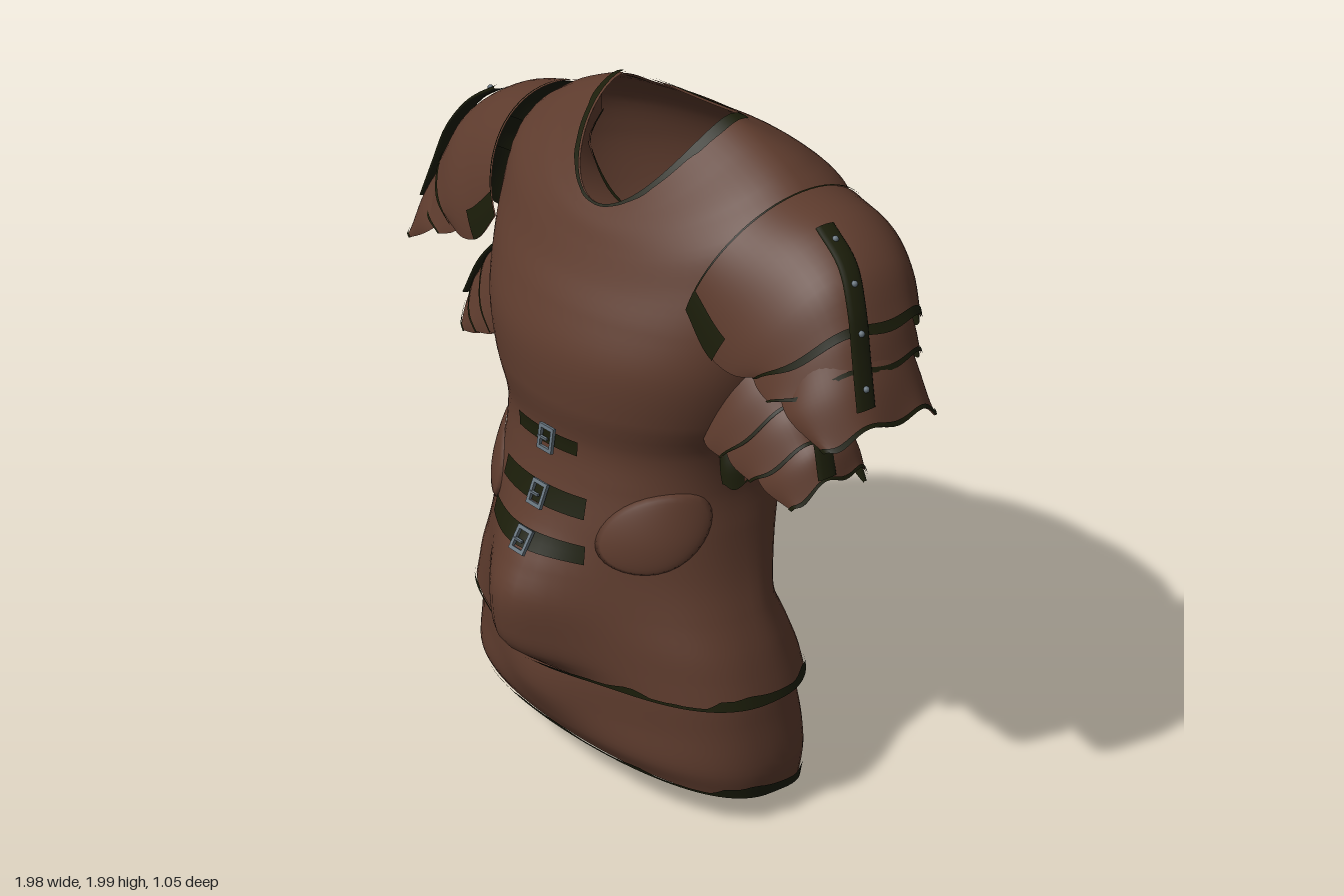
import * as THREE from 'three';
import { ParametricGeometry } from 'three/addons/geometries/ParametricGeometry.js';

const mat = (name, color) => {
  const m = new THREE.MeshStandardMaterial({ color });
  m.name = name;
  return m;
};

// Rings: [half width, side y, side z, front z, front y, back z, back y]
const TORSO = [
  [.605, .40, .05, .44, .42, -.31, .38], [.585, .46, .05, .51, .48, -.30, .43],
  [.56, .53, .05, .53, .56, -.26, .53], [.515, .64, .04, .53, .65, -.21, .64],
  [.48, .74, .03, .49, .74, -.24, .74], [.45, .87, .02, .42, .86, -.29, .87],
  [.43, 1.0, 0, .37, 1.0, -.34, 1.0], [.45, 1.12, -.03, .355, 1.1, -.42, 1.13],
  [.51, 1.24, -.05, .37, 1.22, -.48, 1.27], [.56, 1.38, -.06, .365, 1.36, -.52, 1.42],
  [.59, 1.52, -.07, .32, 1.48, -.525, 1.56], [.60, 1.68, -.09, .27, 1.57, -.49, 1.7],
  [.57, 1.82, -.1, .235, 1.64, -.43, 1.8], [.46, 1.9, -.11, .21, 1.69, -.34, 1.88],
  [.33, 1.955, -.11, .19, 1.72, -.25, 1.93], [.225, 1.99, -.1, .175, 1.74, -.19, 1.95],
];
const SKIRT = [
  [.595, .09, .03, .36, .17, -.29, -.02], [.602, .17, .03, .39, .22, -.31, .12],
  [.58, .30, .04, .43, .32, -.30, .28], [.55, .42, .05, .42, .44, -.26, .42],
  [.50, .50, .05, .38, .52, -.2, .5],
];

// Point on a ring; theta 0 is the front, a quarter turn is +x
function ringPoint([w, yS, zS, zF, yF, zB, yB], theta) {
  const x = w * Math.sin(theta), c = Math.cos(theta), a = Math.abs(c);
  // the belly bulges out in the middle
  const base = Math.min(zF, .39), bulge = (zF - base) * Math.exp(-((x / .2) ** 2));
  return new THREE.Vector3(x,
    yS + ((c > 0 ? yF : yB) - yS) * a ** 1.3,
    c > 0 ? zS + (base - zS) * a ** .85 + bulge : zS + (zB - zS) * a ** .85);
}
const loft = (rings) => (u, v, p) => {
  const theta = u * Math.PI * 2;
  new THREE.CatmullRomCurve3(rings.map((r) => ringPoint(r, theta))).getPoint(v, p);
  // shallow groove along the spine
  if (rings === TORSO && p.z < -.1) p.z += .016 * Math.exp(-((p.x / .06) ** 2)) * Math.sin(Math.PI * v);
  // raised middle of the back hem
  if (rings === SKIRT && p.z < -.1) p.y += .1 * (1 - v) * Math.exp(-((p.x / .2) ** 2));
};

export function createModel() {
  const model = new THREE.Group();
  model.name = 'leatherArmour';
  const leather = mat('brownLeather', 0x5d3b2d);
  const dark = mat('darkTrim', 0x1b1d0a);
  const steel = mat('steel', 0x66737d);

  const add = (geometry, material, name, parent = model) => {
    const mesh = new THREE.Mesh(geometry, material);
    mesh.name = name;
    parent.add(mesh);
    return mesh;
  };

  // One face of a surface, pushed along its normals
  function face(f, material, name, parent, { u0 = 0, u1 = 1, v0 = 0, v1 = 1, off = 0, nu = 32, nv = 16, flip = false, wave = null }) {
    const g = new ParametricGeometry((a, b, p) => {
      const u = u0 + (u1 - u0) * (flip ? 1 - a : a);
      f(u, v0 + (v1 - v0) * b * (wave ? wave(u) : 1), p);
    }, nu, nv);
    const P = g.attributes.position, N = g.attributes.normal;
    for (let i = 0; i < P.count; i++) {
      P.setXYZ(i, P.getX(i) + N.getX(i) * off, P.getY(i) + N.getY(i) * off, P.getZ(i) + N.getZ(i) * off);
    }
    return add(g, material, name, parent);
  }
  // Thin sheet with an outer and an inner face
  function sheet(f, outer, inner, name, parent, o = {}) {
    const { off = 0, gap = .004 } = o;
    face(f, outer, name, parent, o);
    face(f, inner, name + 'Lining', parent, { ...o, flip: !o.flip, off: gap - off });
  }

  // Torso, skirt and their worn edging
  const torso = loft(TORSO), skirt = loft(SKIRT);
  const worn = (u) => {
    const t = u * Math.PI * 2;
    return Math.max(.25, .55 + .35 * Math.tanh(3 * (Math.cos(4 * t) * .6 + Math.cos(9 * t + .5) * .5)) + .08 * Math.sin(23 * t));
  };
  sheet(torso, leather, leather, 'torso', model, { nu: 72, nv: 60 });
  sheet(skirt, leather, leather, 'skirt', model, { nu: 72, nv: 20 });
  const trim = { nu: 120, nv: 2, off: .006, gap: .016 };
  sheet(torso, dark, dark, 'neckTrim', model, { ...trim, v0: 1, v1: .978, flip: true, wave: (u) => .6 + .4 * worn(u) });
  sheet(torso, dark, dark, 'waistTrim', model, { ...trim, v1: .04, wave: worn });
  sheet(skirt, dark, dark, 'hemTrim', model, { ...trim, v1: .14, wave: worn });

  // Flap folded inward below the front of the neckline
  const flap = (u, v, p) => {
    torso((u - .5) * .42, 1, p);
    p.z += (Math.min(p.z, .055) - p.z) * v;
    p.y -= .05 * v;
  };
  sheet(flap, leather, leather, 'innerCollar', model, { nu: 24, nv: 6 });
  sheet(flap, dark, dark, 'innerCollarTrim', model, { v0: .85, off: .004, gap: .012, nu: 24, nv: 2 });

  // Front straps with square buckles: [v on the torso, half angle, lean]
  [[7 / 15, .29, -.15], [5.55 / 15, .42, -.4], [4.6 / 15, .45, -.55]].forEach(([v, angle, lean]) => {
    const u = angle / (Math.PI * 2);
    sheet(torso, dark, dark, 'frontStrap', model, { u0: -u, u1: u, v0: v - .014, v1: v + .014, off: .012, gap: .008, nu: 16, nv: 2 });
    const frame = new THREE.Shape([[-.032, -.037], [.032, -.037], [.032, .037], [-.032, .037]].map((a) => new THREE.Vector2(...a)));
    frame.holes.push(new THREE.Path([[-.021, -.026], [-.021, .026], [.021, .026], [.021, -.026]].map((a) => new THREE.Vector2(...a))));
    const buckle = add(new THREE.ExtrudeGeometry(frame, { depth: .01, bevelEnabled: false }), steel, 'buckle');
    torso(0, v, buckle.position);
    buckle.position.x = .02;
    buckle.position.z += .016;
    buckle.rotation.x = lean;
    const prong = add(new THREE.BoxGeometry(.04, .007, .008), steel, 'bucklePin');
    prong.position.copy(buckle.position).add(new THREE.Vector3(-.012, 0, .008));
  });

  // Arm plates, rows of [ridge x, ridge y, edge x, edge y, mid z, half depth]
  const PLATES = [
    ['pauldron', [[.54, 1.875, .42, 1.58, -.1, .31], [.7, 1.835, .51, 1.48, -.1, .31], [.82, 1.755, .6, 1.45, -.08, .285], [.9, 1.62, .68, 1.46, -.06, .25]]],
    ['upperArmPlate', [[.82, 1.71, .63, 1.48, -.05, .22], [.885, 1.64, .67, 1.44, -.05, .235], [.93, 1.53, .73, 1.41, -.04, .235]]],
    ['upperArmEndPlate', [[.89, 1.6, .74, 1.45, -.03, .2], [.945, 1.5, .8, 1.4, -.02, .21], [.985, 1.4, .92, 1.33, -.02, .19]]],
    ['lowerArmPlate', [[.56, 1.46, .43, 1.2, -.01, .17], [.62, 1.42, .46, 1.18, -.01, .18], [.68, 1.35, .52, 1.16, -.01, .18]]],
    ['lowerArmMidPlate', [[.63, 1.39, .5, 1.18, -.02, .16], [.7, 1.34, .54, 1.15, -.02, .17], [.75, 1.26, .62, 1.12, -.02, .17]]],
    ['lowerArmEndPlate', [[.71, 1.3, .58, 1.15, -.02, .13], [.77, 1.25, .64, 1.11, -.02, .145], [.8, 1.17, .74, 1.07, -.02, .13]]],
    ['underArmFlap', [[.47, 1.2, .43, 1.14, -.02, .11], [.51, 1.12, .44, 1.08, -.02, .12], [.515, 1.06, .45, 1.03, -.02, .12]]],
  ];
  const plate = (rows, s) => (u, v, p) => {
    const a = (u - .5) * Math.PI, c = Math.cos(a);
    new THREE.CatmullRomCurve3(rows.map(([tx, ty, bx, by, z, d]) =>
      new THREE.Vector3(bx + (tx - bx) * c, by + (ty - by) * c, z + d * Math.sin(a)))).getPoint(v, p);
    p.y -= .012 * v * v * Math.cos(6 * a);
    p.x *= s;
  };
  // Flat band about .06 wide and .016 thick along a path over the arm
  const band = (points, s) => {
    const path = new THREE.CatmullRomCurve3(points.map((q) => new THREE.Vector3(...q)));
    const t = new THREE.Vector3();
    return (u, v, p) => {
      const a = Math.PI * (1 - 2 * u), h = .008 * Math.sin(a);
      path.getPoint(v, p);
      path.getTangent(v, t);
      p.x = s * (p.x - t.y * h);
      p.y += t.x * h;
      p.z += .032 * Math.cos(a);
    };
  };
  const STRAPS = [
    ['upperArmStrap', [[.69, 1.842, -.02], [.8, 1.775, 0], [.872, 1.68, .03], [.915, 1.57, .05], [.96, 1.45, .07]], [.1, .36, .62, .9]],
    ['lowerArmStrap', [[.655, 1.39, 0], [.74, 1.295, .02], [.795, 1.18, .04]], [.15, .55]],
  ];

  for (const s of [1, -1]) {
    const arm = new THREE.Group();
    arm.name = s > 0 ? 'leftArm' : 'rightArm';
    model.add(arm);
    const flip = s < 0;
    for (const [name, rows] of PLATES) {
      const f = plate(rows, s);
      sheet(f, leather, dark, name, arm, { flip, nu: 36, nv: 14 });
      const edge = { flip, off: .004, nu: 36, nv: 2 };
      face(f, dark, name + 'EndTrim', arm, { ...edge, v0: .94 });
      if (name === 'pauldron') {
        face(f, dark, 'pauldronSeam', arm, { ...edge, v1: .012 });
        face(f, dark, 'pauldronFrontTrim', arm, { ...edge, u0: .93, v1: .4, nu: 3, nv: 16 });
      }
      if (name === 'underArmFlap') face(f, dark, 'flapFrontTrim', arm, { ...edge, u0: .75, nu: 8, nv: 8 });
    }
    for (const [name, points, rivets] of STRAPS) {
      const f = band(points, s);
      face(f, dark, name, arm, { flip, nu: 12, nv: 20 });
      for (const v of rivets) f(.25, v, add(new THREE.SphereGeometry(.009, 10, 8), steel, 'rivet', arm).position);
    }

    // Oval padded panel on the waist
    const pad = (u, v, p) => {
      const r = 1 - v * .999, phi = u * Math.PI * 2;
      const theta = s * .92 + .42 * r * Math.cos(phi);
      torso(theta / (Math.PI * 2), .348 + .06 * r * Math.sin(phi + s * .35), p);
      const h = .02 * Math.sqrt(Math.max(0, 1 - r * r)) + .001;
      p.x += h * Math.sin(theta);
      p.z += h * Math.cos(theta);
    };
    face(pad, leather, 'waistPad', model, { nu: 32, nv: 10 });
  }
  return model;
}
